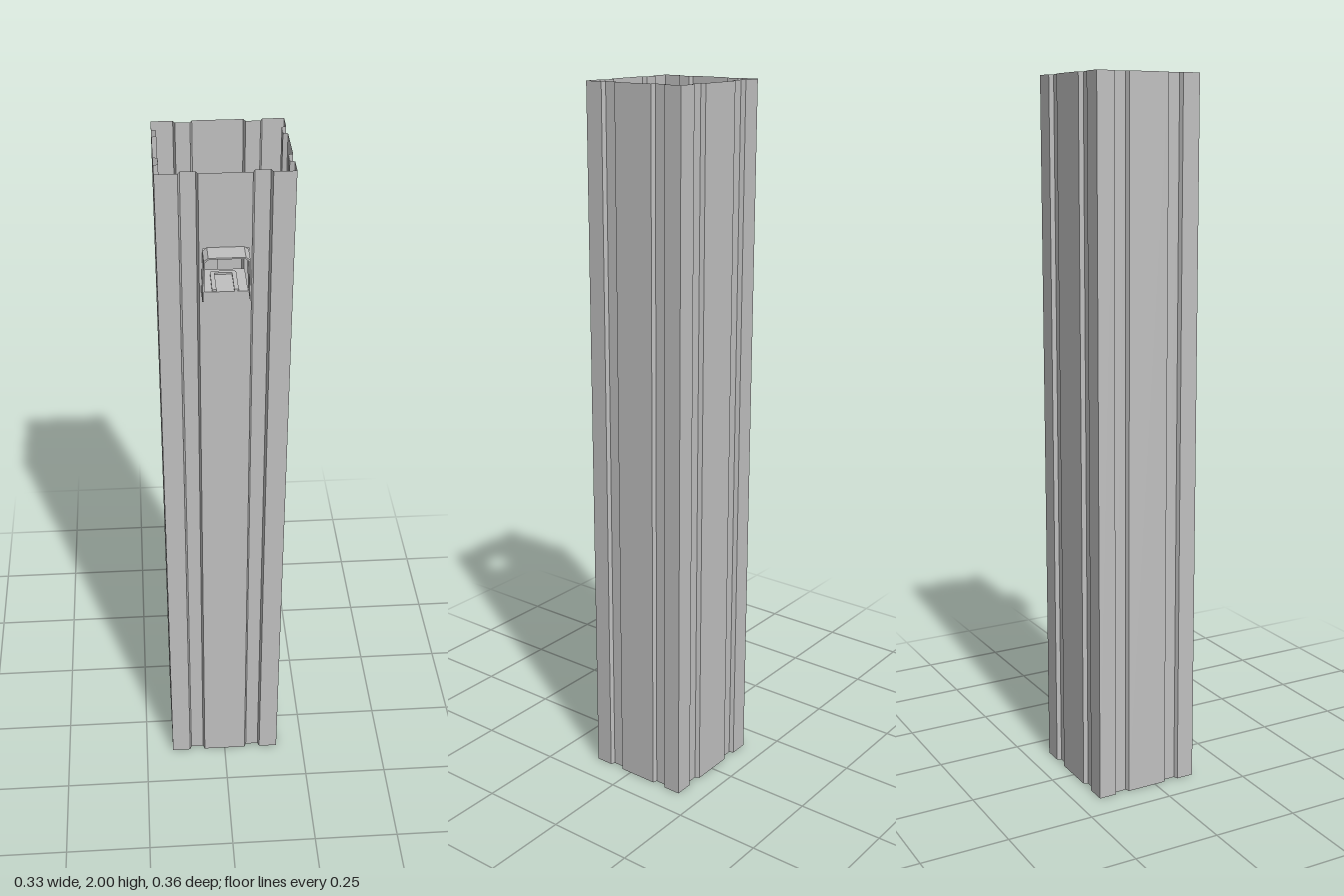
import * as THREE from 'three';

const W = 0.167, D = 0.153, CZ = -0.027, H = 2, GROOVE = 0.012;
const FRONT = CZ + D;

export function createModel() {
  const root = new THREE.Group();
  root.name = 'column';
  const steel = new THREE.MeshStandardMaterial({ color: 0xc0c0c0, side: THREE.DoubleSide, flatShading: true });
  steel.name = 'grey steel';

  const add = (name, geometry, x = 0, y = 0, z = 0) => {
    const mesh = new THREE.Mesh(geometry, steel);
    mesh.name = name;
    mesh.position.set(x, y, z);
    root.add(mesh);
    return mesh;
  };
  const box = (name, w, h, d, x, y, z) => add(name, new THREE.BoxGeometry(w, h, d), x, y, z);

  // Grooved wall section: [position along the side, inset], as a fraction of the half side
  const half = [[0.385, 0], [0.415, GROOVE], [0.64, GROOVE], [0.67, 0]];
  const section = [[-1, 0], ...half.map(([u, i]) => [-u, i]).reverse(), ...half, [1, 0]];
  const sides = [
    { n: [0, 1], t: [1, 0] }, { n: [1, 0], t: [0, -1] },
    { n: [0, -1], t: [-1, 0] }, { n: [-1, 0], t: [0, 1] },
  ];
  const pos = [];
  sides.forEach(({ n, t }, k) => {
    const len = k % 2 ? D : W, out = k % 2 ? W : D;
    const pts = section.map(([u, i]) => [
      t[0] * u * len + n[0] * (out - i),
      t[1] * u * len + n[1] * (out - i) + CZ,
    ]);
    for (let j = 0; j < pts.length - 1; j++) {
      if (k === 0 && j === 4) continue; // the front panel has a window
      const [a, b] = [pts[j], pts[j + 1]];
      pos.push(a[0], 0, a[1], b[0], 0, b[1], b[0], H, b[1]);
      pos.push(a[0], 0, a[1], b[0], H, b[1], a[0], H, a[1]);
    }
  });
  const walls = new THREE.BufferGeometry();
  walls.setAttribute('position', new THREE.Float32BufferAttribute(pos, 3));
  walls.computeVertexNormals();
  add('groovedWalls', walls);

  // Front centre panel with the window opening
  const rect = (Type, x, y0, y1) => new Type([
    new THREE.Vector2(-x, y0), new THREE.Vector2(x, y0),
    new THREE.Vector2(x, y1), new THREE.Vector2(-x, y1),
  ]);
  const panel = rect(THREE.Shape, 0.385 * W, 0, H);
  panel.holes.push(rect(THREE.Path, 0.056, 1.66, 1.805));
  add('frontPanel', new THREE.ShapeGeometry(panel), 0, 0, FRONT);

  // Hood over the window: two sides and a roof with bevelled corners
  const outer = [[-0.06, 1.69], [-0.056, 1.8], [-0.045, 1.808]];
  const inner = [[-0.056, 1.69], [-0.052, 1.797], [-0.043, 1.804]];
  const mirrored = (list) => [...list, ...list.map(([x, y]) => [-x, y]).reverse()];
  const hood = new THREE.Shape(
    [...mirrored(outer), ...mirrored(inner).reverse()].map(([x, y]) => new THREE.Vector2(x, y)));
  add('hood', new THREE.ExtrudeGeometry(hood, { depth: 0.18 - FRONT, bevelEnabled: false }), 0, 0, FRONT);

  // Shelf inside the window with a raised U-shaped rim
  box('shelf', 0.112, 0.026, FRONT - 0.013, 0, 1.673, (FRONT + 0.013) / 2);
  const rim = new THREE.Shape();
  rim.moveTo(-0.033, -0.124);
  rim.lineTo(-0.033, -0.04);
  rim.quadraticCurveTo(-0.033, -0.03, -0.023, -0.03);
  rim.lineTo(0.023, -0.03);
  rim.quadraticCurveTo(0.033, -0.03, 0.033, -0.04);
  rim.lineTo(0.033, -0.124);
  rim.lineTo(0.022, -0.124);
  rim.lineTo(0.022, -0.04);
  rim.lineTo(-0.022, -0.04);
  rim.lineTo(-0.022, -0.124);
  const rimMesh = add('shelfRim', new THREE.ExtrudeGeometry(rim, {
    depth: 0.005, bevelEnabled: false, curveSegments: 4 }), 0, 1.686, 0);
  rimMesh.rotation.x = -Math.PI / 2;

  // Box held off the side wall by pegs
  box('innerBox', 0.138, 0.14, 0.14, -0.079, 1.635, -0.095);
  for (const z of [-0.138, -0.076]) {
    box('wallPeg', 0.02, 0.01, 0.01, -0.157, 1.635, z);
  }
  return root;
}
